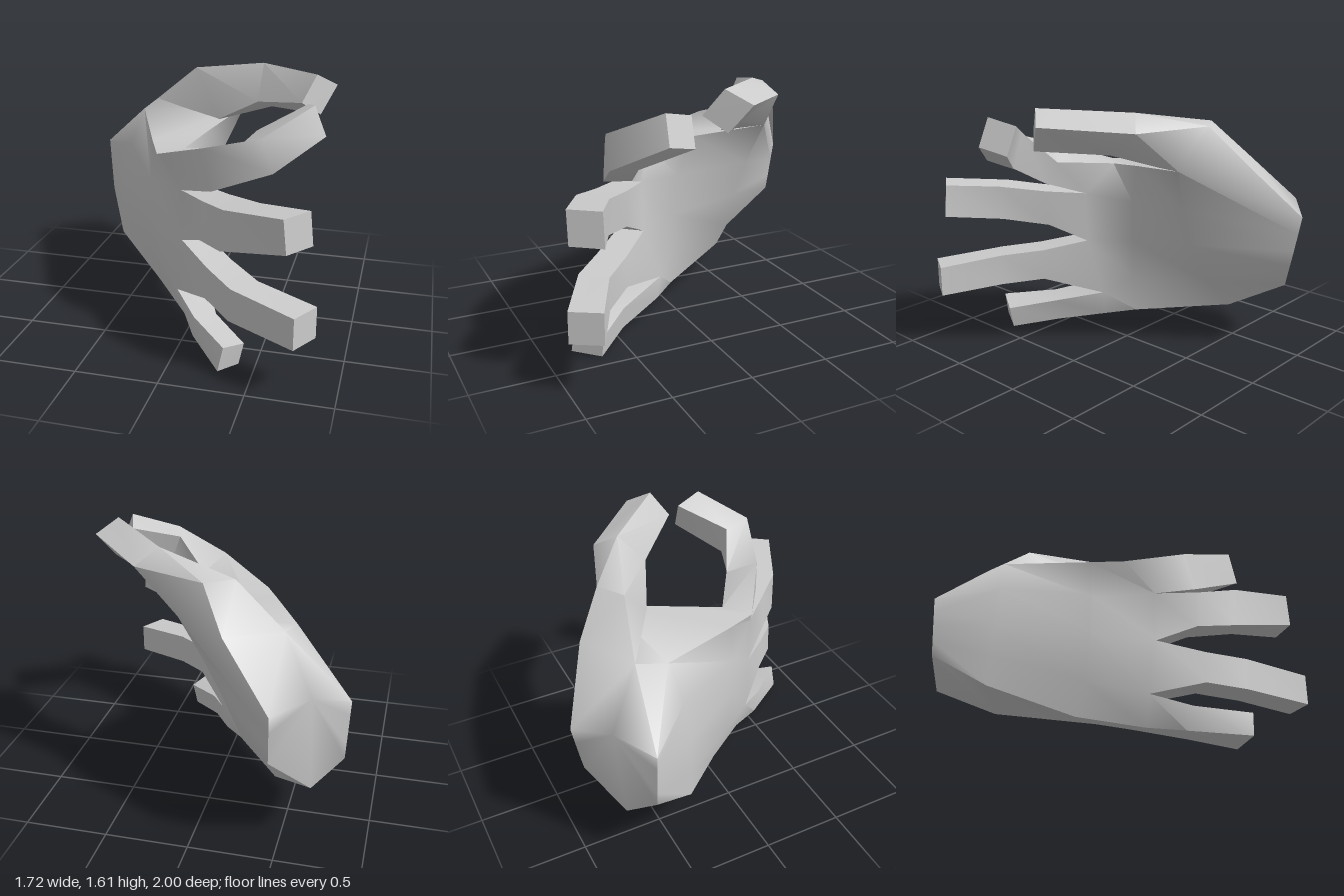
import * as THREE from 'three';
import { toCreasedNormals } from 'three/addons/utils/BufferGeometryUtils.js';

// Palm cross-sections from wrist to knuckles: five points down the back of the hand, five down the palm side
const sections = [
  { back: [[-.86, .89, -.66], [-.855, .8, -.66], [-.85, .7, -.66], [-.845, .61, -.66], [-.84, .52, -.66]],
    inner: [[-.46, .92, -1], [-.457, .81, -.98], [-.453, .7, -.96], [-.45, .6, -.94], [-.67, .37, -.78]] },
  { back: [[-.51, 1.21, -.42], [-.6, .97, -.37], [-.65, .72, -.35], [-.67, .5, -.35], [-.67, .31, -.36]],
    inner: [[.16, 1.24, -.54], [.04, .97, -.48], [-.07, .72, -.45], [-.2, .46, -.48], [-.42, .24, -.52]] },
  { back: [[-.29, 1.15, .1], [-.3, .9, .12], [-.3, .65, .12], [-.3, .35, .08], [-.29, .15, 0]],
    inner: [[.02, 1.18, -.1], [-.03, .92, -.02], [-.06, .65, 0], [-.06, .4, 0], [-.09, .16, 0]] },
  { back: [[-.2, 1.13, .3], [-.02, .95, .4], [-.02, .63, .4], [-.06, .28, .37], [-.03, .09, .32]],
    inner: [[-.06, 1.14, .17], [.09, .95, .28], [.09, .63, .27], [.07, .29, .15], [.04, .13, .16]] },
];

// Finger rings after the knuckles: back top, inner top, inner bottom, back bottom
const fingers = {
  indexFinger: [
    [[.14, 1.26, .53], [.25, 1.17, .37], [.3, 1.03, .43], [.2, 1.02, .57]],
    [[.5, 1.38, .66], [.44, 1.37, .47], [.52, 1.16, .48], [.57, 1.19, .67]],
    [[.75, 1.52, .42], [.69, 1.48, .24], [.76, 1.31, .25], [.82, 1.35, .43]],
  ],
  middleFinger: [
    [[.16, .97, .6], [.28, .97, .45], [.26, .74, .45], [.14, .73, .6]],
    [[.32, 1, .78], [.5, 1.01, .65], [.48, .79, .65], [.3, .75, .77]],
    [[.68, 1.05, .96], [.8, 1.05, .8], [.82, .85, .8], [.7, .85, .96]],
  ],
  ringFinger: [
    [[.19, .57, .62], [.3, .57, .47], [.3, .37, .47], [.18, .37, .62]],
    [[.37, .54, .8], [.5, .54, .66], [.5, .34, .66], [.36, .34, .8]],
    [[.76, .51, 1], [.86, .51, .83], [.86, .32, .83], [.76, .32, 1]],
  ],
  littleFinger: [
    [[.1, .21, .57], [.21, .19, .46], [.19, .05, .46], [.08, .06, .53]],
    [[.34, .18, .83], [.43, .14, .68], [.4, 0, .68], [.31, .03, .84]],
  ],
};

// Thumb rings, grown from the wrist and the edge of the palm
const wristTop = [-.66, .97, -.83];
const [wrist, midPalm] = sections;
const thumbRings = [
  [wrist.back[0], wristTop, wrist.inner[0], wrist.inner[0], wrist.back[0]],
  [[-.47, 1.24, -.6], [-.47, 1.24, -.6], [-.16, 1.26, -.8], wrist.inner[0], midPalm.back[0]],
  [[-.17, 1.49, -.52], [-.17, 1.49, -.52], [-.01, 1.49, -.62], midPalm.inner[0], [.03, 1.2, -.3]],
  [[.32, 1.58, -.35], [.32, 1.58, -.35], [.44, 1.49, -.46], [.4, 1.33, -.23], [.32, 1.37, -.17]],
  [[.71, 1.61, .05], [.71, 1.61, .05], [.82, 1.53, -.07], [.74, 1.37, .04], [.64, 1.46, .15]],
];

// Adds a triangle unless two of its corners coincide
function tri(out, a, b, c) {
  const [p, q, r] = [a, b, c].map((v) => new THREE.Vector3(...v));
  if (q.sub(p).cross(r.sub(p)).length() > 1e-6) out.push(...a, ...b, ...c);
}

function fan(out, ring) {
  for (let i = 1; i < ring.length - 1; i++) tri(out, ring[0], ring[i], ring[i + 1]);
}

// Joins successive rings with quads; open(segment, side) leaves a side out
function loft(out, rings, open = () => false) {
  for (let s = 0; s < rings.length - 1; s++) {
    const a = rings[s], b = rings[s + 1];
    for (let j = 0; j < a.length; j++) {
      if (open(s, j)) continue;
      const k = (j + 1) % a.length;
      tri(out, a[j], b[j], a[k]);
      tri(out, b[j], b[k], a[k]);
    }
  }
}

export function createModel() {
  const parts = { palm: [], thumb: [] };
  const names = Object.keys(fingers);

  // Palm: one column of quads behind each finger, without the walls between columns
  names.forEach((name, i) => {
    const columns = sections.map(({ back, inner }) => [back[i], inner[i], inner[i + 1], back[i + 1]]);
    loft(parts.palm, columns, (s, j) => (j === 0 && (i > 0 || s === 0)) || (j === 2 && i < 3));

    // Finger with closed tip
    const rings = [columns[3], ...fingers[name]];
    parts[name] = [];
    loft(parts[name], rings);
    fan(parts[name], [...rings.at(-1)].reverse());
  });

  // Flat wrist end
  fan(parts.palm, [wristTop, ...wrist.inner, ...[...wrist.back].reverse()]);

  // Thumb with closed tip
  loft(parts.thumb, thumbRings);
  fan(parts.thumb, thumbRings.at(-1).slice(1).reverse());

  // Normals are shared over the whole hand so the parts blend at their seams
  const whole = new THREE.BufferGeometry();
  whole.setAttribute('position', new THREE.Float32BufferAttribute(Object.values(parts).flat(), 3));
  const normals = toCreasedNormals(whole, 1.1).getAttribute('normal').array;

  const hand = new THREE.Group();
  hand.name = 'hand';
  const material = new THREE.MeshStandardMaterial({ color: 0xcccccc });
  let start = 0;
  for (const [name, points] of Object.entries(parts)) {
    const geometry = new THREE.BufferGeometry();
    geometry.setAttribute('position', new THREE.Float32BufferAttribute(points, 3));
    geometry.setAttribute('normal', new THREE.Float32BufferAttribute(normals.slice(start, start + points.length), 3));
    start += points.length;
    const mesh = new THREE.Mesh(geometry, material);
    mesh.name = name;
    hand.add(mesh);
  }
  return hand;
}
